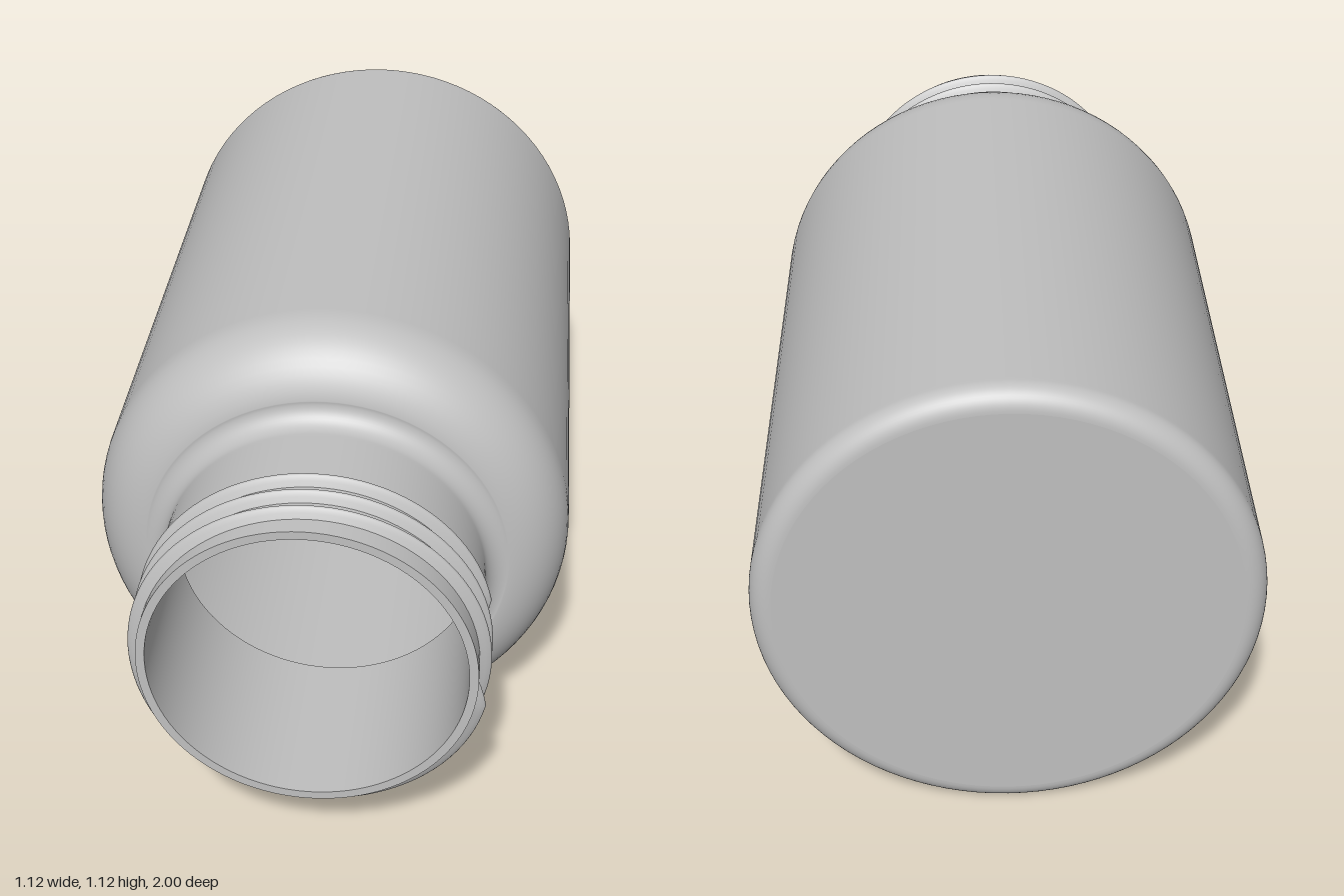
import * as THREE from 'three';

const SEGMENTS = 96;
const AXIS_Y = 0.56; // height of the bottle's axis
const NECK_R = 0.372;

// Points (radius, position along axis) on an arc, angles in degrees
function arc(r, z, radius, from, to, steps = 12) {
  return Array.from({ length: steps + 1 }, (_, i) => {
    const a = THREE.MathUtils.degToRad(from + (to - from) * i / steps);
    return [r + radius * Math.cos(a), z + radius * Math.sin(a)];
  });
}

// Surface of revolution about z; profile order sets which way it faces
function revolve(name, profile, material) {
  const geometry = new THREE.LatheGeometry(profile.map(p => new THREE.Vector2(...p)), SEGMENTS);
  geometry.rotateX(Math.PI / 2);
  const mesh = new THREE.Mesh(geometry, material);
  mesh.name = name;
  return mesh;
}

// Helical ridge with a rounded crest, tapering into the neck at both ends
function threadGeometry(start, pitch, turns) {
  const section = [[-0.004, -0.017], [0.012, -0.0095], [0.022, -0.004], [0.025, 0],
    [0.022, 0.004], [0.012, 0.0095], [-0.004, 0.017]];
  const steps = turns * SEGMENTS, n = section.length;
  const positions = [], index = [];
  for (let i = 0; i <= steps; i++) {
    const angle = i / SEGMENTS * Math.PI * 2;
    const taper = Math.min(1, i / 3, (steps - i) / 3);
    for (const [height, offset] of section) {
      const r = NECK_R - 0.004 + (height + 0.004) * taper;
      const z = start + pitch * i / SEGMENTS + offset * (0.3 + 0.7 * taper);
      positions.push(r * Math.cos(angle), r * Math.sin(angle), z);
    }
    if (i === steps) continue;
    for (let j = 0; j < n - 1; j++) {
      const a = i * n + j, b = a + n;
      index.push(a, b, b + 1, a, b + 1, a + 1);
    }
  }
  const geometry = new THREE.BufferGeometry();
  geometry.setAttribute('position', new THREE.Float32BufferAttribute(positions, 3));
  geometry.setIndex(index);
  geometry.computeVertexNormals();
  return geometry;
}

export function createModel() {
  const grey = new THREE.MeshStandardMaterial({ color: 0xc0c0c0 });
  grey.name = 'grey plastic';

  const bottle = new THREE.Group();
  bottle.name = 'bottle';
  bottle.position.y = AXIS_Y;

  // Outside: base, rounded heel, wall, shoulder, fillet and neck
  bottle.add(revolve('base', [[0, -1], [0.51, -1]], grey));
  bottle.add(revolve('outerShell', [
    ...arc(0.51, -0.95, 0.05, -90, 0),
    [0.56, -0.94], [0.56, 0.41],
    ...arc(0.39, 0.42, 0.17, 0, 78),
    ...arc(0.422, 0.635, 0.05, 270, 180),
    [NECK_R, 0.645], [NECK_R, 1],
  ], grey));
  bottle.add(revolve('mouthRim', [[NECK_R, 1], [0.352, 1]], grey));

  // Inside: neck bore, ledge under the neck, cavity wall and floor
  bottle.add(revolve('neckBore', [[0.352, 1], [0.352, 0.57]], grey));
  bottle.add(revolve('cavity', [
    [0.352, 0.57],
    ...arc(0.39, 0.42, 0.15, 90, 0),
    [0.54, 0.41], [0.54, -0.94],
    ...arc(0.51, -0.95, 0.03, 0, -90),
    [0, -0.98],
  ], grey));

  // Screw thread around the mouth
  const thread = new THREE.Mesh(threadGeometry(0.81, 0.058, 3), grey);
  thread.name = 'screwThread';
  bottle.add(thread);

  const model = new THREE.Group();
  model.add(bottle);
  return model;
}
